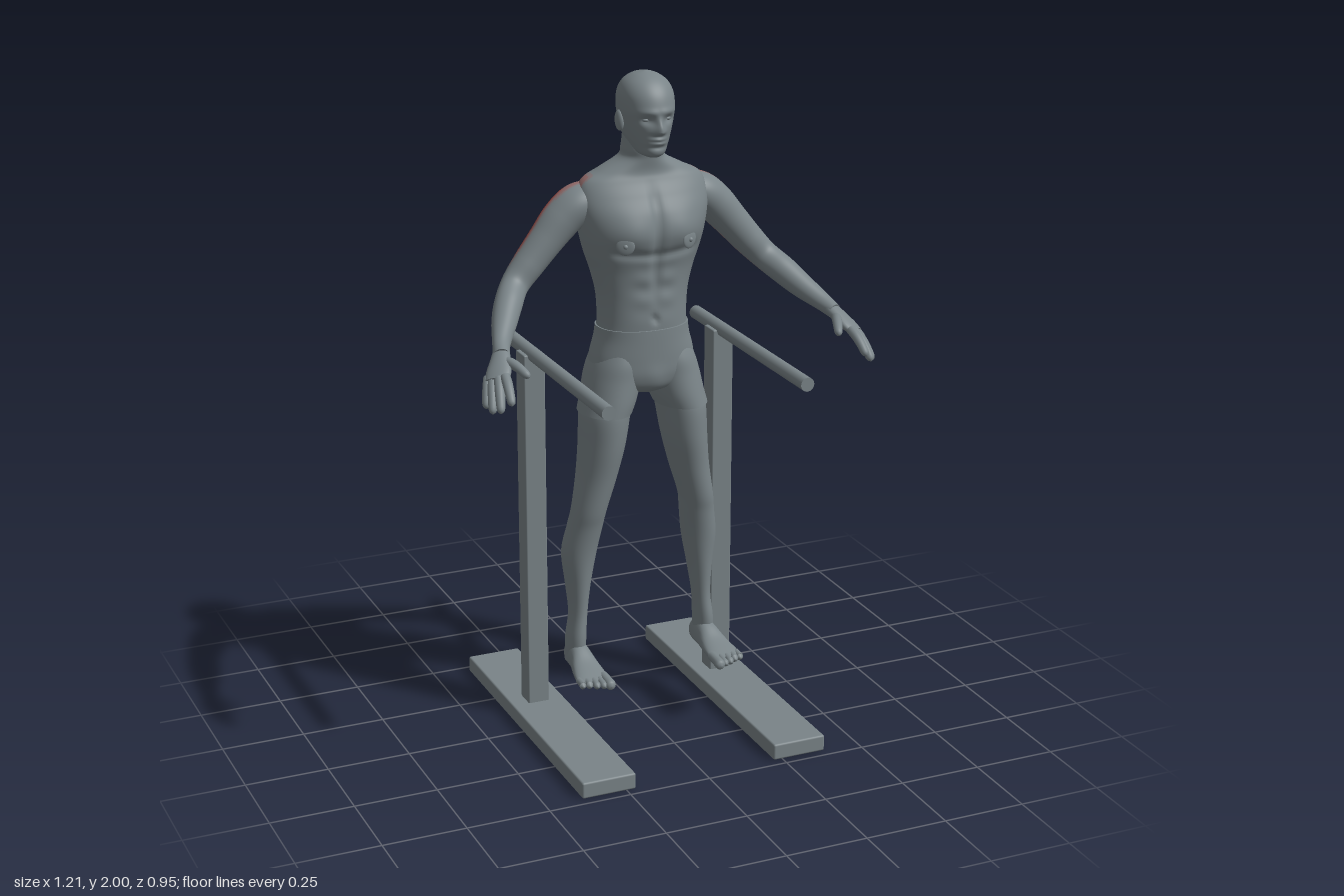
import * as THREE from 'three';
import { RoundedBoxGeometry } from 'three/addons/geometries/RoundedBoxGeometry.js';

const { smoothstep, clamp } = THREE.MathUtils;
const V = (x, y, z) => new THREE.Vector3(x, y, z);
const bump = (d, w) => Math.exp(-((d / w) ** 2));
const UP = V(0, 1, 0), FRONT = V(0, 0, 1);

const material = (name, color) => Object.assign(new THREE.MeshStandardMaterial({ color }), { name });

// Smooth curve through rows of numbers
function resample(rows, sub) {
  const out = [];
  for (let i = 0; i < rows.length - 1; i++) {
    const p0 = rows[Math.max(i - 1, 0)], p1 = rows[i], p2 = rows[i + 1], p3 = rows[Math.min(i + 2, rows.length - 1)];
    for (let k = 0; k < sub; k++) {
      const t = k / sub;
      out.push(p1.map((b, c) => {
        const m1 = (p2[c] - p0[c]) / 2, m2 = (p3[c] - b) / 2, d = p2[c] - b;
        return b + t * (m1 + t * (3 * d - 2 * m1 - m2 + t * (m1 + m2 - 2 * d)));
      }));
    }
  }
  out.push(rows[rows.length - 1]);
  return out;
}

// Skin over cross-sections [x, y, z, halfWidth, frontDepth, backDepth]
function loft(rows, { ref = FRONT, axis = null, n = 2, segs = 32, sub = 6, sculpt = null } = {}) {
  const rings = resample(rows, sub), pos = [], idx = [];
  const centres = rings.map(r => V(r[0], r[1], r[2]));
  const last = rings.length - 1;
  const curve = v => Math.sign(v) * Math.abs(v) ** (2 / n);
  rings.forEach((r, i) => {
    const t = axis || centres[Math.min(i + 1, last)].clone().sub(centres[Math.max(i - 1, 0)]).normalize();
    const v = ref.clone().addScaledVector(t, -ref.dot(t)).normalize();
    const u = v.clone().cross(t);
    for (let j = 0; j < segs; j++) {
      const a = (j / segs) * Math.PI * 2, s = curve(Math.sin(a));
      const p = centres[i].clone()
        .addScaledVector(u, Math.max(r[3], 0.001) * curve(Math.cos(a)))
        .addScaledVector(v, Math.max(s > 0 ? r[4] : r[5], 0.001) * s);
      if (sculpt) sculpt(p, s);
      pos.push(p.x, p.y, p.z);
      if (i < last) {
        const j2 = (j + 1) % segs, A = i * segs + j, B = i * segs + j2;
        idx.push(A, B, A + segs, B, B + segs, A + segs);
      }
    }
  });
  // End caps with their own vertices
  for (const end of [0, last]) {
    const base = pos.length / 3;
    for (let j = 0; j < segs; j++) pos.push(...pos.slice((end * segs + j) * 3, (end * segs + j) * 3 + 3));
    pos.push(...centres[end].toArray());
    for (let j = 0; j < segs; j++) {
      const a = base + j, b = base + ((j + 1) % segs);
      idx.push(base + segs, ...(end ? [a, b] : [b, a]));
    }
  }
  const g = new THREE.BufferGeometry();
  g.setAttribute('position', new THREE.Float32BufferAttribute(pos, 3));
  g.setIndex(idx);
  g.computeVertexNormals();
  return g;
}

// Highlighted muscle: strong on the back of the upper arm, a soft disc on the rear shoulder
function redLevel(p, n) {
  const ax = Math.abs(p.x);
  if (p.y < 1.36 || p.z > 0.03) return 0;
  const core = smoothstep(ax, 0.19, 0.24) * (1 - smoothstep(ax, 0.35, 0.42)) * clamp((0.15 - n.z) / 0.6, 0, 1);
  const disc = 0.42 * (1 - smoothstep(Math.hypot(ax - 0.195, p.y - 1.645), 0.05, 0.085)) * clamp((0.25 - n.z) / 0.3, 0, 1);
  const w = Math.max(core, disc);
  return [0.08, 0.25, 0.45, 0.7].filter(limit => w > limit).length;
}

// Sort triangles into one material group per tone
function paintRed(g) {
  const index = g.index.array, P = g.attributes.position, N = g.attributes.normal;
  const buckets = [[], [], [], [], []];
  for (let i = 0; i < index.length; i += 3) {
    const p = V(0, 0, 0), m = V(0, 0, 0), tri = [index[i], index[i + 1], index[i + 2]];
    for (const k of tri) {
      p.add(V(P.getX(k), P.getY(k), P.getZ(k)));
      m.add(V(N.getX(k), N.getY(k), N.getZ(k)));
    }
    buckets[redLevel(p.divideScalar(3), m.normalize())].push(...tri);
  }
  g.setIndex(buckets.flat());
  let start = 0;
  buckets.forEach((b, i) => { g.addGroup(start, b.length, i); start += b.length; });
  return g;
}

// Chest, spine and belly relief
function sculptTorso(p, s) {
  const ax = Math.abs(p.x);
  if (s > 0.1) {
    p.z += 0.012 * bump(ax - 0.08, 0.06) * bump(p.y - 1.55, 0.05);
    p.z -= 0.010 * bump(ax, 0.014) * smoothstep(p.y, 1.3, 1.45) * (1 - smoothstep(p.y, 1.62, 1.7));
    p.z -= 0.007 * bump(p.y - 1.478 - ax * 0.1, 0.014) * (1 - smoothstep(ax, 0.1, 0.15));
    p.z += 0.003 * Math.cos((p.y - 1.34) * 90) * bump(ax - 0.035, 0.03) * bump(p.y - 1.38, 0.07);
    p.z -= 0.010 * bump(ax, 0.01) * bump(p.y - 1.285, 0.012);
  } else if (s < -0.1) {
    p.z += 0.028 * bump(ax, 0.035) * smoothstep(p.y, 1.22, 1.4) * (1 - smoothstep(p.y, 1.66, 1.74));
    p.z -= 0.012 * bump(ax - 0.09, 0.04) * bump(p.y - 1.6, 0.06);
  }
}

// Eye sockets, brow, nose, lips and chin
function sculptHead(p, s) {
  if (s < 0.2) return;
  const ax = Math.abs(p.x), y = p.y;
  p.z -= 0.011 * bump(ax - 0.032, 0.018) * bump(y - 1.876, 0.013);
  p.z += 0.004 * bump(ax - 0.025, 0.03) * bump(y - 1.898, 0.01);
  const nose = (1 - smoothstep(y, 1.848, 1.895)) * smoothstep(y, 1.828, 1.842);
  p.z += 0.019 * nose * bump(ax, 0.009 + 0.008 * (1 - smoothstep(y, 1.84, 1.87)));
  p.z += 0.006 * bump(ax, 0.02) * (bump(y - 1.82, 0.005) + bump(y - 1.807, 0.005));
  p.z -= 0.005 * bump(ax, 0.025) * bump(y - 1.795, 0.007);
}

export function createModel() {
  const model = new THREE.Group();
  const grey = material('grey', 0x7a8488);
  const tones = [grey, material('faintRed', 0x877a7c), material('softRed', 0x946c6b),
    material('midRed', 0xa05a55), material('muscleRed', 0xb0463f)];

  const add = (name, geometry, mat = grey) => {
    const mesh = new THREE.Mesh(geometry, mat);
    mesh.name = name;
    model.add(mesh);
    return mesh;
  };
  const ball = (name, x, y, z, sx, sy, sz) => {
    const m = add(name, new THREE.SphereGeometry(1, 20, 14));
    m.position.set(x, y, z);
    m.scale.set(sx, sy, sz);
    return m;
  };

  // Trunk, neck and head
  add('torso', paintRed(loft([
    [0, 1.20, 0, .142, .10, .092], [0, 1.27, 0, .134, .105, .09], [0, 1.35, 0, .138, .105, .09],
    [0, 1.42, 0, .155, .108, .098], [0, 1.48, 0, .175, .12, .108], [0, 1.54, 0, .19, .13, .115],
    [0, 1.60, 0, .2, .122, .12], [0, 1.65, 0, .198, .098, .113], [0, 1.69, 0, .178, .076, .098],
    [0, 1.715, 0, .13, .068, .086], [0, 1.75, .005, .068, .066, .07], [0, 1.78, .01, .06, .065, .067],
    [0, 1.83, .015, .056, .055, .065],
  ], { axis: UP, n: 2.2, segs: 112, sub: 8, sculpt: sculptTorso })), tones);

  add('head', loft([
    [0, 1.764, .075, .02, .03, .03], [0, 1.775, .06, .04, .058, .06], [0, 1.80, .04, .054, .084, .09],
    [0, 1.83, .03, .065, .098, .098], [0, 1.865, .03, .073, .102, .104], [0, 1.90, .03, .078, .104, .106],
    [0, 1.94, .03, .076, .093, .10], [0, 1.97, .03, .062, .071, .08], [0, 1.99, .03, .036, .041, .048],
    [0, 2.0, .03, .004, .004, .004],
  ], { axis: UP, n: 2.1, segs: 112, sub: 9, sculpt: sculptHead }));

  // Shorts
  add('shorts', loft([
    [0, 1.048, 0, .03, .05, .06], [0, 1.07, 0, .11, .09, .098], [0, 1.11, 0, .158, .105, .11],
    [0, 1.16, 0, .158, .109, .110], [0, 1.22, 0, .143, .11, .101], [0, 1.253, 0, .139, .11, .097],
  ], {
    axis: UP, n: 2.2, segs: 72,
    sculpt: (p, s) => {
      if (s < -0.1) p.z += 0.03 * bump(p.x, 0.014) * (1 - smoothstep(p.y, 1.14, 1.21));
      else if (s > 0.1) p.z += 0.006 * bump(p.x, 0.03) * bump(p.y - 1.1, 0.04);
    },
  }));

  for (const s of [1, -1]) {
    const side = s > 0 ? 'left' : 'right';
    const flip = rows => rows.map(([x, ...rest]) => [x * s, ...rest]);

    // Face and chest details
    ball(side + 'Eye', .031 * s, 1.876, .107, .013, .007, .01);
    ball(side + 'Ear', .078 * s, 1.862, .026, .01, .03, .018).rotation.set(-.15, -.25 * s, 0);
    ball(side + 'Areola', .1 * s, 1.518, .119, .027, .027, .006).rotation.y = .45 * s;
    ball(side + 'Nipple', .101 * s, 1.518, .124, .007, .007, .006);

    // Legs
    add(side + 'Leg', loft(flip([
      [.212, .205, -.012, .03, .04, .04], [.21, .28, -.01, .029, .045, .045], [.203, .36, -.01, .027, .04, .04],
      [.20, .45, -.015, .036, .05, .055], [.196, .55, -.015, .051, .06, .063], [.182, .64, 0, .052, .06, .06],
      [.172, .70, .01, .052, .064, .06], [.149, .80, .01, .059, .078, .073], [.132, .90, .01, .067, .093, .083],
      [.120, 1.0, .005, .073, .102, .086], [.10, 1.06, 0, .07, .09, .085],
    ]), { axis: UP, segs: 40 }));
    add(side + 'ShortsLeg', loft(flip([
      [.121, .998, .005, .078, .107, .091], [.107, 1.04, .003, .081, .107, .1], [.093, 1.10, 0, .082, .104, .107],
      [.083, 1.15, 0, .076, .1, .102], [.075, 1.2, 0, .06, .085, .085],
    ]), { axis: UP, segs: 40 }));

    // Feet and toes
    add(side + 'Foot', loft(flip([
      [.208, .215, -.067, .006, .006, .008], [.208, .214, -.056, .022, .03, .026], [.209, .212, -.02, .03, .06, .027],
      [.21, .212, .03, .035, .052, .025], [.213, .208, .08, .044, .028, .022], [.216, .203, .13, .049, .014, .018],
      [.216, .2, .16, .042, .006, .012],
    ]), { axis: FRONT, ref: UP, n: 2.3 }));
    for (let i = 0; i < 5; i++) {
      const x = .179 + i * .0195, r = i ? .0105 : .015, tip = .198 - i * .006 - (i > 2 ? .005 : 0);
      add(side + 'Toe' + (i + 1), loft(flip([
        [x, .202, .13, r, r, r], [x, .2, .16, r, r, r], [x, .197, tip - .008, r, r, r], [x, .196, tip, .002, .002, .002],
      ]), { axis: FRONT, ref: UP, segs: 12, sub: 4 }));
    }

    // Arm with the back of the upper arm picked out in red
    add(side + 'Arm', paintRed(loft(flip([
      [.09, 1.645, -.025, .025, .04, .045], [.14, 1.637, -.025, .045, .062, .06], [.19, 1.62, -.022, .058, .07, .062],
      [.24, 1.58, -.02, .058, .062, .057], [.29, 1.525, -.015, .052, .051, .051], [.345, 1.462, -.01, .047, .045, .045],
      [.393, 1.41, .005, .042, .038, .038], [.433, 1.37, .055, .041, .04, .04], [.467, 1.333, .11, .036, .036, .036],
      [.5, 1.30, .175, .027, .025, .025], [.518, 1.28, .22, .022, .024, .024],
    ]), { segs: 56, sub: 9 })), tones);

    // Hand, fingers and thumb
    add(side + 'Palm', loft(flip([
      [.495, 1.305, .168, .02, .018, .018], [.51, 1.288, .2, .02, .023, .023], [.525, 1.27, .232, .019, .03, .03],
      [.543, 1.247, .265, .017, .037, .037], [.556, 1.232, .287, .012, .034, .034],
    ]), { ref: V(.7 * s, -.1, -.7), segs: 24 }));
    const fingers = [
      [.535, 1.243, .295, .546, 1.184, .374], [.55, 1.236, .285, .572, 1.16, .357],
      [.562, 1.23, .268, .588, 1.154, .335], [.568, 1.23, .25, .595, 1.16, .302],
      [.518, 1.27, .232, .478, 1.243, .329],
    ];
    fingers.forEach(([x, y, z, x2, y2, z2], i) => {
      const a = V(x, y, z), b = V(x2, y2, z2);
      const rows = [[0, .0145], [.35, .0145], [.65, .0135], [.92, .011], [1, .002]].map(([t, r]) => {
        const p = a.clone().lerp(b, t);
        return [p.x, p.y + .008 * Math.sin(t * Math.PI), p.z, r, r, r];
      });
      add(side + (i < 4 ? 'Finger' + (i + 1) : 'Thumb'), loft(flip(rows), { ref: UP, segs: 14, sub: 4 }));
    });

    // Dip bar stand: base, post and rail
    add(side + 'Base', new RoundedBoxGeometry(.167, .05, .947, 2, .006)).position.set(.305 * s, .025, 0);
    add(side + 'Post', new RoundedBoxGeometry(.066, 1.12, .066, 2, .004)).position.set(.304 * s, .603, -.112);
    const rail = add(side + 'Rail', new THREE.CylinderGeometry(.021, .021, .755, 16));
    rail.rotation.x = Math.PI / 2;
    rail.position.set(.304 * s, 1.162, .1);
  }
  return model;
}
